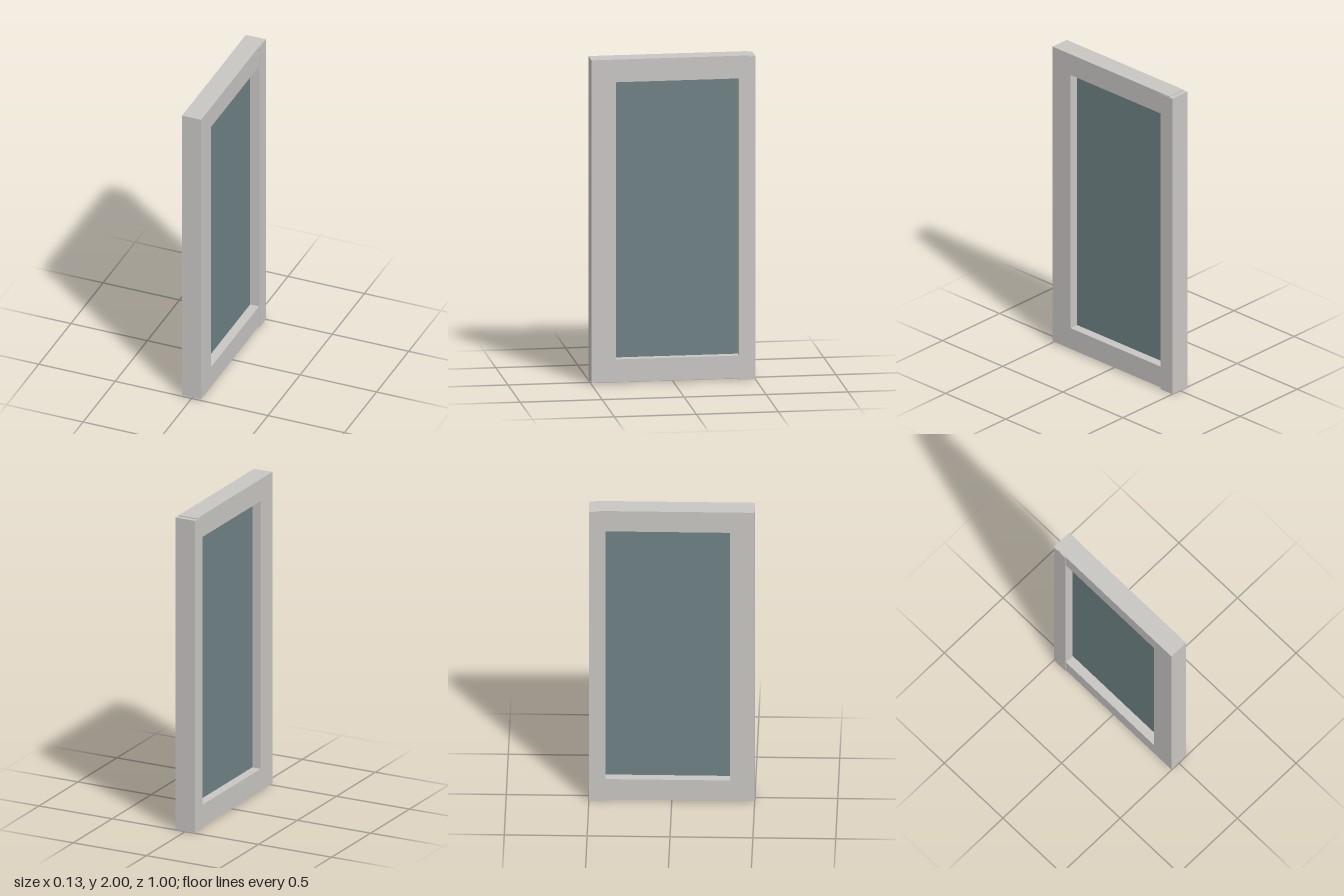
import * as THREE from 'three';

export function createModel() {
  const group = new THREE.Group();
  group.name = 'windowPanel';
  const frameMat = new THREE.MeshStandardMaterial({ color: 0xc9c7c4 });
  frameMat.name = 'warmGreyFrame';
  const glassMat = new THREE.MeshStandardMaterial({ color: 0x6f8285 });
  glassMat.name = 'blueGreyGlass';

  const add = (name, geometry, material, x, y, z) => {
    const mesh = new THREE.Mesh(geometry, material);
    mesh.name = name;
    mesh.position.set(x, y, z);
    group.add(mesh);
  };

  // Rectangle in the (z, y) plane
  const rect = (Type, z0, z1, y0, y1) => {
    const p = new Type();
    p.moveTo(z0, y0);
    p.lineTo(z1, y0);
    p.lineTo(z1, y1);
    p.lineTo(z0, y1);
    p.closePath();
    return p;
  };

  // Sash frame with one tall opening, extruded across its thickness
  const thickness = 0.125;
  const outline = rect(THREE.Shape, -0.47, 0.5, 0.01, 2);
  outline.holes.push(rect(THREE.Path, -0.4, 0.35, 0.15, 1.86));
  const sash = new THREE.ExtrudeGeometry(outline, { depth: thickness, bevelEnabled: false });
  sash.translate(0, 0, -thickness / 2);
  sash.rotateY(-Math.PI / 2);
  add('sashFrame', sash, frameMat, 0, 0, 0);

  // Slightly thicker upright at the back, a little lower than the sash
  add('backStile', new THREE.BoxGeometry(0.132, 1.995, 0.1), frameMat, 0, 0.9975, -0.45);

  // Pane set midway in the frame, its edges let into the rails
  add('glassPane', new THREE.BoxGeometry(0.01, 1.73, 0.77), glassMat, 0, 1.005, -0.025);

  return group;
}
